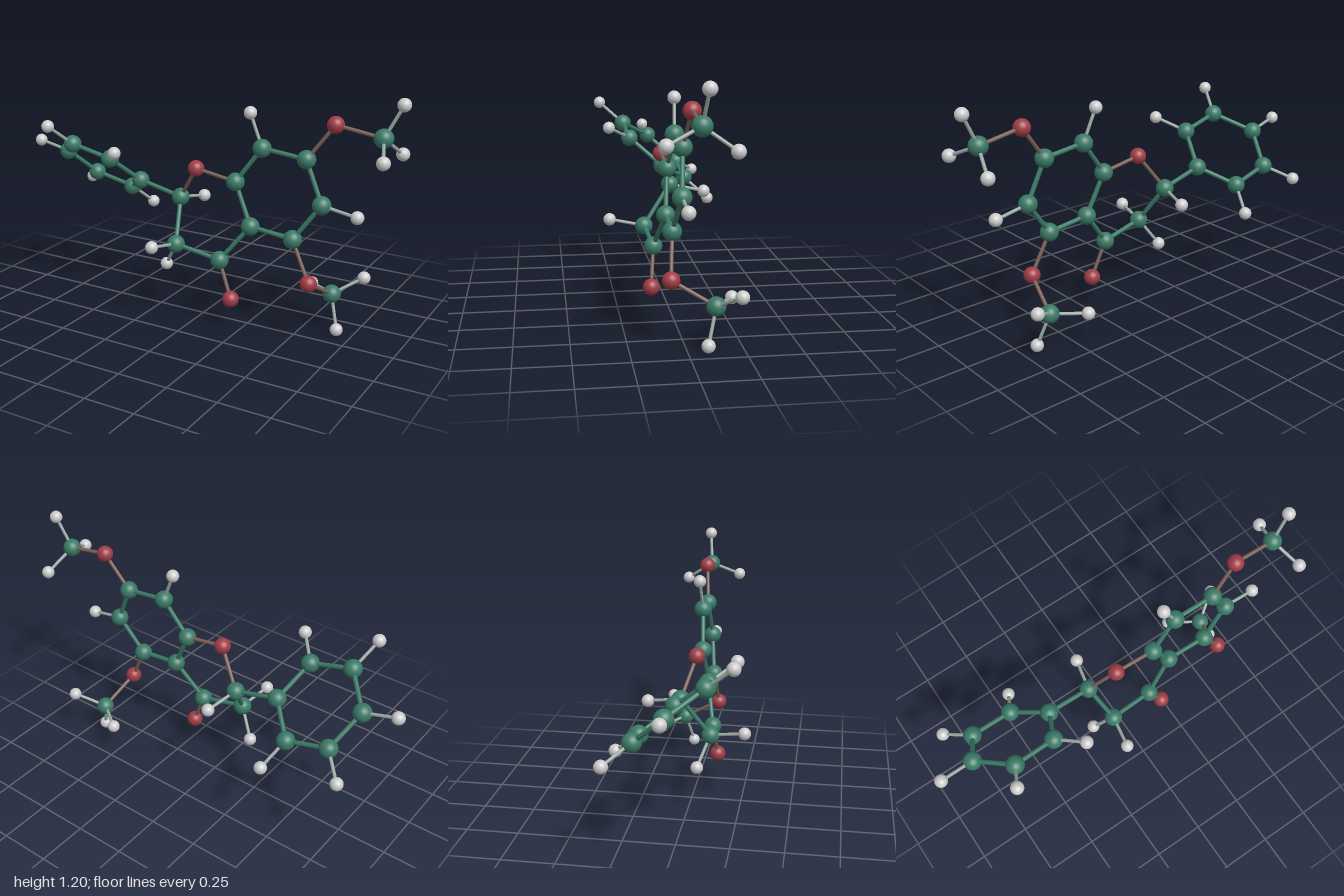
import * as THREE from 'three';

// Atom kinds: ball radius and colour
const KINDS = {
  carbon: { radius: 0.044, color: 0x3a7a66 },
  oxygen: { radius: 0.04, color: 0xa03c46 },
  hydrogen: { radius: 0.031, color: 0xcccccc },
};

// Ball centres, grouped by part of the molecule
const PARTS = {
  phenylRing: {
    carbon: { p1: [-0.377, 0.642, -0.02], p2: [-0.447, 0.781, 0.142], p3: [-0.66, 0.832, 0.158],
      p4: [-0.805, 0.743, 0.007], p5: [-0.735, 0.603, -0.143], p6: [-0.521, 0.551, -0.157] },
    hydrogen: { hp2: [-0.34, 0.85, 0.257], hp3: [-0.714, 0.94, 0.28], hp4: [-0.971, 0.783, 0.02],
      hp5: [-0.848, 0.534, -0.251], hp6: [-0.468, 0.444, -0.277] },
  },
  oxygenRing: {
    carbon: { c2: [-0.147, 0.587, -0.03], c3: [-0.094, 0.391, 0.106], c4: [0.139, 0.346, 0.087] },
    oxygen: { o1: [-0.024, 0.765, 0.029], o4: [0.211, 0.165, 0.105] },
    hydrogen: { h2: [-0.107, 0.556, -0.196], h3a: [-0.182, 0.254, 0.052], h3b: [-0.126, 0.42, 0.274] },
  },
  fusedRing: {
    carbon: { c4a: [0.281, 0.529, 0.046], c5: [0.5, 0.504, 0.046], c6: [0.628, 0.682, 0.021],
      c7: [0.54, 0.882, 0.007], c8: [0.318, 0.906, 0.011], c8a: [0.19, 0.73, 0.028] },
    hydrogen: { h6: [0.8, 0.652, 0.019], h8: [0.251, 1.064, 0.003] },
  },
  upperMethoxy: {
    oxygen: { o7: [0.666, 1.053, -0.014] },
    carbon: { m7: [0.888, 1.018, -0.019] },
    hydrogen: { m7a: [0.965, 1.171, -0.035], m7b: [0.933, 0.922, -0.156], m7c: [0.944, 0.95, 0.13] },
  },
  lowerMethoxy: {
    oxygen: { o5: [0.594, 0.309, 0.063] },
    carbon: { m5: [0.634, 0.197, -0.129] },
    hydrogen: { m5a: [0.76, 0.273, -0.218], m5b: [0.489, 0.189, -0.226], m5c: [0.682, 0.036, -0.088] },
  },
};

// Chains of bonded atoms
const CHAINS = [
  'p1 p2 p3 p4 p5 p6 p1 c2', 'p2 hp2', 'p3 hp3', 'p4 hp4', 'p5 hp5', 'p6 hp6',
  'o1 c2 c3 c4 c4a', 'c4 o4', 'o1 c8a', 'c2 h2', 'h3a c3 h3b',
  'c4a c5 c6 c7 c8 c8a c4a', 'c6 h6', 'c8 h8',
  'c7 o7 m7 m7a', 'm7b m7 m7c', 'c5 o5 m5 m5a', 'm5b m5 m5c',
];

export function createModel() {
  const model = new THREE.Group();
  model.name = 'molecule';
  const atoms = {};
  const materials = {};
  const material = (color) => (materials[color] ??= new THREE.MeshStandardMaterial({ color }));

  // Balls
  const ballGeometry = {};
  for (const [kind, { radius }] of Object.entries(KINDS)) {
    ballGeometry[kind] = new THREE.SphereGeometry(radius, 32, 20);
  }
  for (const [part, kinds] of Object.entries(PARTS)) {
    const group = new THREE.Group();
    group.name = part;
    for (const [kind, balls] of Object.entries(kinds)) {
      for (const [id, xyz] of Object.entries(balls)) {
        const ball = new THREE.Mesh(ballGeometry[kind], material(KINDS[kind].color));
        ball.name = kind + 'Ball';
        ball.position.set(...xyz);
        group.add(ball);
        atoms[id] = { kind, position: ball.position };
      }
    }
    model.add(group);
  }

  // Rods between bonded balls, coloured as a mix of both ends
  const bonds = new THREE.Group();
  bonds.name = 'bonds';
  const up = new THREE.Vector3(0, 1, 0);
  const addBond = (a, b) => {
    const direction = b.position.clone().sub(a.position);
    const kinds = [a.kind, b.kind];
    const radius = kinds.includes('hydrogen') ? 0.008 : kinds.includes('oxygen') ? 0.009 : 0.011;
    const color = new THREE.Color(KINDS[a.kind].color).lerp(new THREE.Color(KINDS[b.kind].color), 0.5);
    const rod = new THREE.Mesh(
      new THREE.CylinderGeometry(radius, radius, direction.length(), 16), material(color.getHex()));
    rod.name = 'bondRod';
    rod.position.copy(a.position).add(b.position).multiplyScalar(0.5);
    rod.quaternion.setFromUnitVectors(up, direction.normalize());
    bonds.add(rod);
  };
  for (const chain of CHAINS) {
    const ids = chain.split(' ');
    for (let i = 1; i < ids.length; i++) addBond(atoms[ids[i - 1]], atoms[ids[i]]);
  }
  model.add(bonds);
  return model;
}
